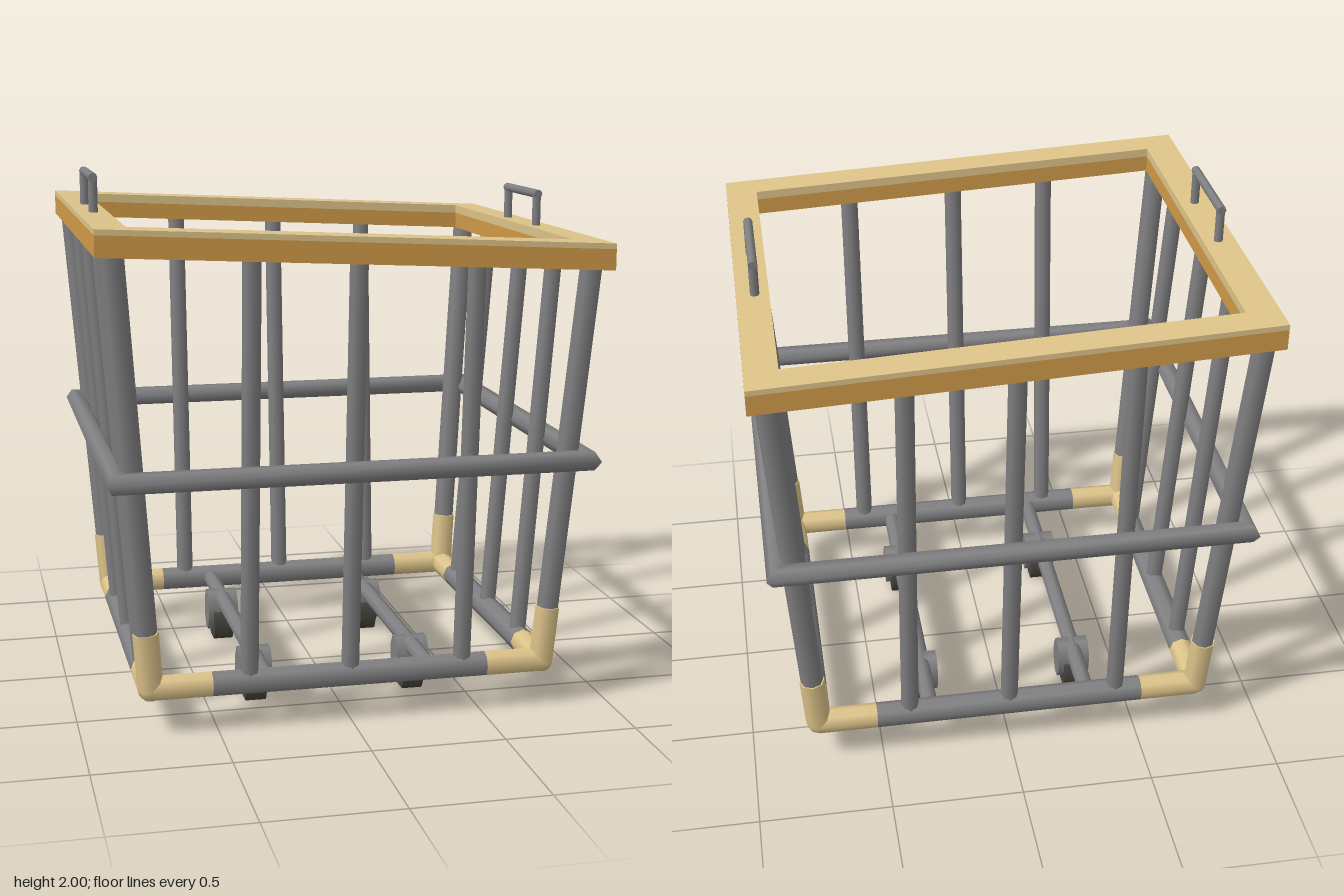
import * as THREE from 'three';

const mat = (name, color, side = THREE.FrontSide) => {
  const m = new THREE.MeshStandardMaterial({ color, side });
  m.name = name;
  return m;
};

export function createModel() {
  const grey = mat('steel grey', 0x808082);
  const cream = mat('pale cream', 0xdec48a);
  const orange = mat('worn orange', 0xd09a48);
  const dark = mat('dark rubber', 0x45443c);
  const root = new THREE.Group();
  const V = (x, y, z) => new THREE.Vector3(x, y, z);

  const add = (name, geo, material, parent = root) => {
    const mesh = new THREE.Mesh(geo, material);
    mesh.name = name;
    parent.add(mesh);
    return mesh;
  };

  // Straight rod from a to b
  const rod = (name, a, b, r, material, sides = 8) => {
    const mesh = add(name, new THREE.CylinderGeometry(r, r, a.distanceTo(b), sides), material);
    mesh.position.copy(a).lerp(b, 0.5);
    mesh.quaternion.setFromUnitVectors(V(0, 1, 0), b.clone().sub(a).normalize());
    return mesh;
  };

  // Mitred rectangular loop: profile points are [outward, up], anticlockwise
  const corners = [[1, 1], [1, -1], [-1, -1], [-1, 1]];
  const loop = (hx, hz, yAt, profile, segments, flat) => {
    const pos = [], idx = [];
    corners.forEach((c, i) => {
      const base = pos.length / 3;
      [c, corners[(i + 1) % 4]].forEach(([sx, sz]) => profile.forEach(([o, u]) => {
        const x = sx * (hx + o);
        pos.push(x, yAt(x) + u, sz * (hz + o));
      }));
      const n = profile.length;
      segments.forEach((j) => {
        const k = (j + 1) % n;
        const a = base + j, b = base + n + j, cc = base + n + k, d = base + k;
        idx.push(a, b, cc, a, cc, d);
      });
    });
    let g = new THREE.BufferGeometry();
    g.setAttribute('position', new THREE.Float32BufferAttribute(pos, 3));
    g.setIndex(idx);
    if (flat) g = g.toNonIndexed();
    g.computeVertexNormals();
    return g;
  };

  // Sloping top rim: pale upper faces, orange sides and underside
  const rimY = (x) => 1.765 - 0.049 * x;
  const rimProfile = [[0, -0.048], [0, 0.028], [0, 0.048], [-0.12, 0.048], [-0.12, 0.015], [-0.12, -0.048]];
  add('rimTop', loop(0.925, 0.842, rimY, rimProfile, [1, 2, 3], true), cream);
  add('rimSides', loop(0.925, 0.842, rimY, rimProfile, [0, 4, 5], true), orange);

  // Middle hoop, hexagonal in section
  const hex = [0, 1, 2, 3, 4, 5].map((i) => [0.04 * Math.cos(i * Math.PI / 3), 0.04 * Math.sin(i * Math.PI / 3)]);
  add('middleHoop', loop(0.862, 0.79, () => 0.97, hex, [0, 1, 2, 3, 4, 5], false), grey);

  // The walls lean outward with height
  const Y0 = 0.173;
  const wallX = (y) => 0.745 + 0.074 * (y - Y0);
  const wallZ = (y) => 0.67 + 0.07 * (y - Y0);

  // Corner posts with pale lower fittings
  const R = 0.048;
  corners.forEach(([sx, sz]) => {
    const at = (y) => V(sx * wallX(y), y, sz * wallZ(y));
    rod('cornerPost', at(0.39), at(rimY(sx * 0.86)), 0.043, grey);
    rod('cornerFitting', at(Y0), at(0.39), R, cream);
    const corner = at(Y0);
    rod('cornerFitting', corner, V(sx * 0.52, Y0, corner.z), R, cream);
    rod('cornerFitting', corner, V(corner.x, Y0, sz * 0.46), R, cream);
    add('cornerJoint', new THREE.SphereGeometry(R, 8, 6), cream).position.copy(corner);
  });

  // Bottom frame
  [-1, 1].forEach((s) => {
    rod('bottomRail', V(-0.52, Y0, s * 0.67), V(0.52, Y0, s * 0.67), R, grey);
    rod('bottomRail', V(s * 0.745, Y0, -0.46), V(s * 0.745, Y0, 0.46), R, grey);
  });

  // Three upright bars on each wall
  const bar = (f, top) => rod('uprightBar', f(Y0), f(top), 0.034, grey, 8);
  [[1, [-0.38, 0, 0.43]], [-1, [-0.42, 0, 0.39]]].forEach(([s, xs]) =>
    xs.forEach((x) => bar((y) => V(x, y, s * wallZ(y)), rimY(x))));
  [[1, [-0.41, 0.01, 0.39]], [-1, [-0.37, 0.01, 0.44]]].forEach(([s, zs]) =>
    zs.forEach((z) => bar((y) => V(s * wallX(y), y, z), rimY(s * 0.86))));

  // Floor rods carrying four castors
  [-0.31, 0.31].forEach((x) => {
    rod('floorRod', V(x, Y0, -0.66), V(x, Y0, 0.66), 0.032, grey);
    [-0.37, 0.375].forEach((z) => {
      const castor = new THREE.Group();
      castor.name = 'castor';
      castor.position.set(x, 0, z);
      root.add(castor);
      const housing = new THREE.CylinderGeometry(0.082, 0.082, 0.125, 8).rotateY(Math.PI / 8);
      housing.rotateZ(Math.PI / 2).scale(1, 1.06, 0.7);
      add('castorHousing', housing, grey, castor).position.y = 0.12;
      // Six-sided wheel resting on a flat
      const wheel = new THREE.CylinderGeometry(0.081, 0.081, 0.08, 6).rotateZ(Math.PI / 2);
      add('castorWheel', wheel, dark, castor).position.y = 0.07;
    });
  });

  // Wire handles standing on the two short sides of the rim
  [[-0.862, 1.983], [0.857, 1.893]].forEach(([x, top]) => {
    const z0 = -0.163, z1 = 0.178, r = 0.017;
    rod('handleLeg', V(x, rimY(x), z0), V(x, top, z0), r, grey);
    rod('handleLeg', V(x, rimY(x), z1), V(x, top, z1), r, grey);
    rod('handleGrip', V(x, top, z0 - r), V(x, top, z1 + r), r, grey);
  });

  return root;
}
